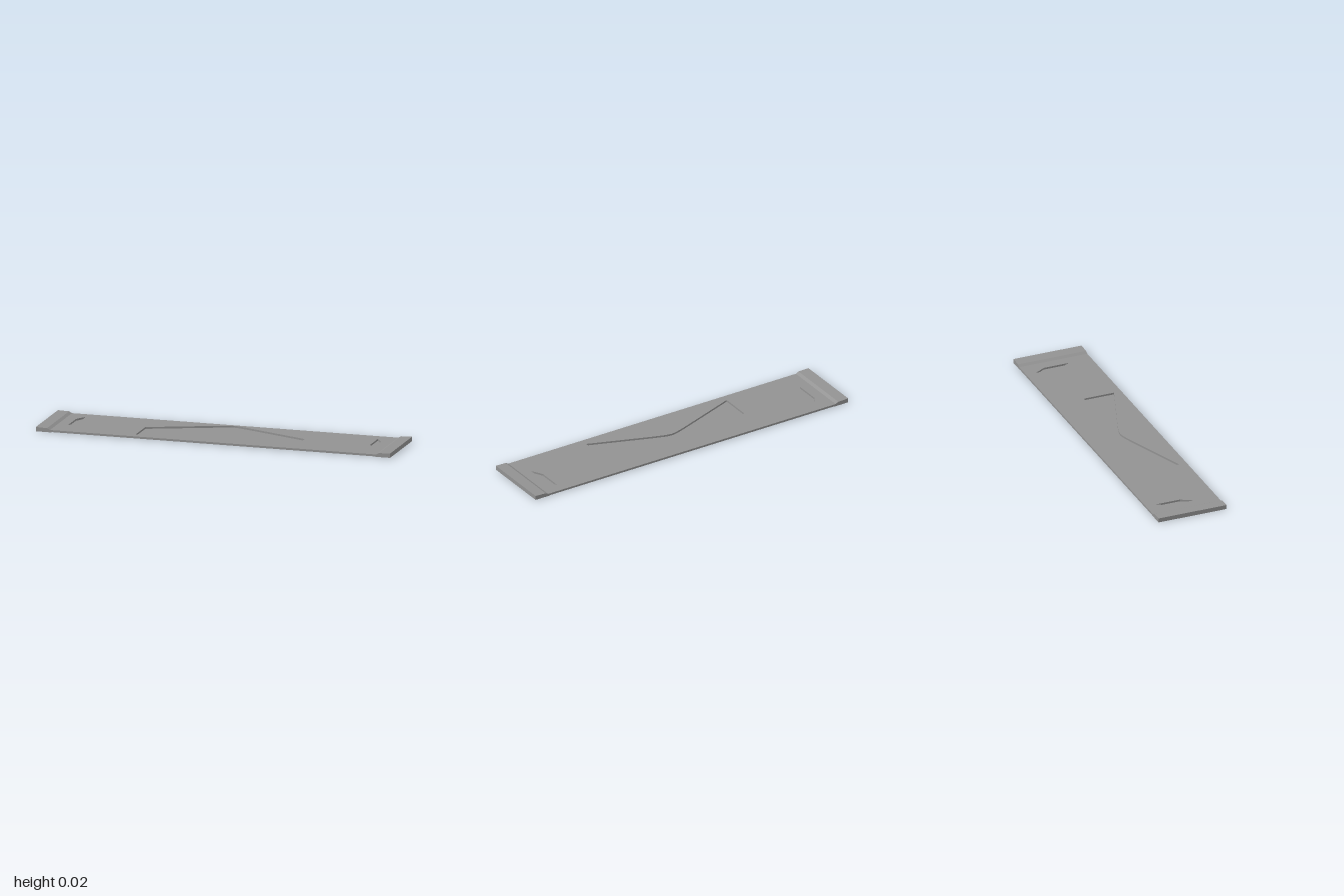
import * as THREE from 'three';

const BOTTOM = 0.002;  // underside of the plate, just above the lips' feet
const TOP = 0.013;     // upper face of the plate
const HALF = 0.199;    // half depth in z
const JOIN = 0.88;     // x where the plate meets the end lips
const FLOOR = 0.003;   // height of the recess floors

const GREY = 0x929292;
const material = new THREE.MeshStandardMaterial({ color: GREY, flatShading: true });
const thinMaterial = new THREE.MeshStandardMaterial({ color: GREY, flatShading: true, side: THREE.DoubleSide });

// Outlines are given as [x, z]; the shape plane is laid flat afterwards
const toPoints = (list) => list.map(([x, z]) => new THREE.Vector2(x, -z));

// Shallow chevron with softened bends, mirrored about x = 0
function chevronPoints() {
  const back = [[0.45, -0.018], [0.1, -0.155], [0.045, -0.175], [0.02, -0.184]];
  const front = [[0.02, 0.004], [0.045, 0.01], [0.1, 0.028], [0.45, 0.156]];
  const flip = (list) => list.map(([x, z]) => [-x, z]).reverse();
  return toPoints([...back, [0, -0.188], ...flip(back), ...flip(front), [0, 0.001], ...front]);
}

// Small slanted slot near each end
function slotPoints(side) {
  return toPoints([[0.825, -0.142], [0.861, -0.08], [0.861, 0.065], [0.825, 0]]
    .map(([x, z]) => [x * side, z]));
}

function addMesh(group, name, geometry, mat = material) {
  const mesh = new THREE.Mesh(geometry, mat);
  mesh.name = name;
  group.add(mesh);
}

export function createModel() {
  const model = new THREE.Group();
  model.name = 'panel';

  const recesses = [
    ['chevronFloor', chevronPoints()],
    ['leftSlotFloor', slotPoints(1)],
    ['rightSlotFloor', slotPoints(-1)],
  ];

  // Flat plate, cut by the recesses
  const outline = new THREE.Shape(toPoints([[-JOIN, HALF], [JOIN, HALF], [JOIN, -HALF], [-JOIN, -HALF]]));
  recesses.forEach(([, points]) => outline.holes.push(new THREE.Path(points)));
  const plate = new THREE.ExtrudeGeometry(outline, { depth: TOP - BOTTOM, bevelEnabled: false });
  addMesh(model, 'plate', plate.rotateX(-Math.PI / 2).translate(0, BOTTOM, 0));

  // Sunken floors of the recesses
  recesses.forEach(([name, points]) => {
    const floor = new THREE.ShapeGeometry(new THREE.Shape(points)).rotateX(-Math.PI / 2);
    addMesh(model, name, floor.translate(0, FLOOR, 0), thinMaterial);
  });

  // Raised lips at both ends
  for (const side of [1, -1]) {
    const profile = new THREE.Shape([
      [JOIN, BOTTOM], [0.905, BOTTOM], [0.92, 0], [1, 0], [1, 0.024], [0.937, 0.022], [0.92, TOP], [JOIN, TOP],
    ].map(([x, y]) => new THREE.Vector2(x * side, y)));
    const lip = new THREE.ExtrudeGeometry(profile, { depth: HALF * 2, bevelEnabled: false });
    addMesh(model, side > 0 ? 'leftEndLip' : 'rightEndLip', lip.translate(0, 0, -HALF));
  }

  return model;
}
